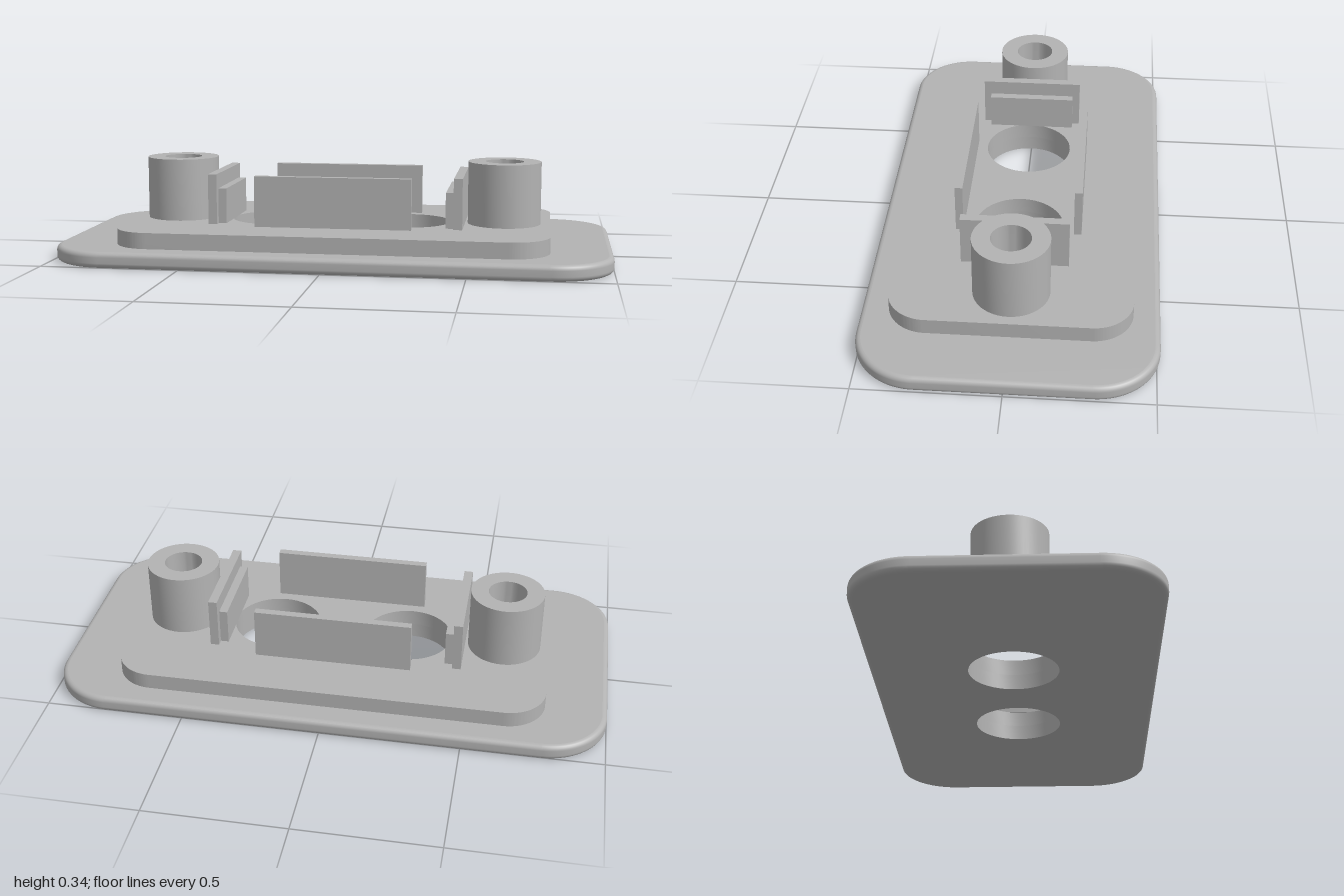
import * as THREE from 'three';
import { toCreasedNormals } from 'three/addons/utils/BufferGeometryUtils.js';

const SEG = 24;
const PLATE_TOP = 0.057, STEP_TOP = 0.115;
const HOLE_X = 0.25, HOLE_R = 0.162;

// Rounded rectangle outline from half sizes, counter-clockwise
function roundedRect(hx, hz, r, shape = new THREE.Shape()) {
  const corners = [[1, -1], [1, 1], [-1, 1], [-1, -1]];
  corners.forEach(([sx, sz], i) => {
    const start = (i - 1) * Math.PI / 2;
    shape.absarc(sx * (hx - r), sz * (hz - r), r, start, start + Math.PI / 2, false);
  });
  return shape;
}

function addRoundHoles(shape) {
  for (const s of [-1, 1]) {
    shape.holes.push(new THREE.Path().absarc(s * HOLE_X, 0, HOLE_R, 0, Math.PI * 2, true));
  }
  return shape;
}

// Filleted edge of the plate, lofted through inset outlines
function rimGeometry(hx, hz, r, height, fillet) {
  const levels = [];
  const steps = 5;
  for (let half = 0; half < 2; half++) {
    for (let k = 0; k <= steps; k++) {
      const a = (half + k / steps - 1) * Math.PI / 2;
      levels.push({
        inset: fillet * (1 - Math.cos(a)),
        y: (half ? height - fillet : fillet) + fillet * Math.sin(a),
      });
    }
  }
  const positions = [], indices = [];
  let n = 0;
  for (const { inset, y } of levels) {
    const points = roundedRect(hx - inset, hz - inset, r - inset).getPoints(SEG);
    n = points.length;
    for (const p of points) positions.push(p.x, y, -p.y);
  }
  for (let j = 0; j < levels.length - 1; j++) {
    for (let i = 0; i < n; i++) {
      const a = j * n + i, b = j * n + (i + 1) % n;
      indices.push(a, b, a + n, b, b + n, a + n);
    }
  }
  const geometry = new THREE.BufferGeometry();
  geometry.setAttribute('position', new THREE.Float32BufferAttribute(positions, 3));
  geometry.setIndex(indices);
  geometry.computeVertexNormals();
  return geometry;
}

export function createModel() {
  const model = new THREE.Group();
  model.name = 'mountingPlate';
  const grey = new THREE.MeshStandardMaterial({ color: 0xb3b3b3 });
  grey.name = 'grey';

  function add(name, geometry, x = 0, y = 0, z = 0, parent = model) {
    const mesh = new THREE.Mesh(geometry, grey);
    mesh.name = name;
    mesh.position.set(x, y, z);
    parent.add(mesh);
    return mesh;
  }

  function box(name, x0, x1, y0, y1, z0, z1) {
    add(name, new THREE.BoxGeometry(x1 - x0, y1 - y0, z1 - z0),
      (x0 + x1) / 2, (y0 + y1) / 2, (z0 + z1) / 2);
  }

  function lathe(points) {
    const profile = points.map(([r, y]) => new THREE.Vector2(r, y));
    return toCreasedNormals(new THREE.LatheGeometry(profile, SEG * 2), 0.6);
  }

  // Base plate: rounded rim, underside and the visible ledge on top
  const HX = 1, HZ = 0.512, R = 0.22, F = 0.018;
  const plate = new THREE.Group();
  plate.name = 'basePlate';
  model.add(plate);
  add('plateRim', rimGeometry(HX, HZ, R, PLATE_TOP, F), 0, 0, 0, plate);

  const underside = addRoundHoles(roundedRect(HX - F, HZ - F, R - F));
  add('plateUnderside', new THREE.ShapeGeometry(underside, SEG).rotateX(Math.PI / 2), 0, 0, 0, plate);

  const ledge = roundedRect(HX - F, HZ - F, R - F);
  ledge.holes.push(roundedRect(0.78, 0.42, 0.14, new THREE.Path()));
  add('plateLedge', new THREE.ShapeGeometry(ledge, SEG).rotateX(-Math.PI / 2), 0, PLATE_TOP, 0, plate);

  // Raised step with the two through holes
  const step = new THREE.ExtrudeGeometry(addRoundHoles(roundedRect(0.78, 0.42, 0.14)), {
    depth: STEP_TOP - PLATE_TOP, bevelEnabled: false, curveSegments: SEG,
  });
  step.rotateX(-Math.PI / 2);
  add('raisedStep', toCreasedNormals(step, 0.6), 0, PLATE_TOP, 0);

  for (const s of [-1, 1]) {
    const side = s > 0 ? 'left' : 'right';

    // Hole lining through the base plate
    add(side + 'HoleWall', lathe([[HOLE_R, PLATE_TOP], [HOLE_R, 0]]), s * HOLE_X);

    // Screw boss with a bore
    add(side + 'ScrewBoss', lathe([
      [0.134, STEP_TOP], [0.134, 0.345], [0.07, 0.345], [0.07, STEP_TOP],
    ]), s * 0.61);

    // Stepped end wall: tall outer plate and shorter inner plate
    const span = (a, b) => (s > 0 ? [a, b] : [-b, -a]);
    box(side + 'OuterEndWall', ...span(0.435, 0.467), STEP_TOP, 0.3, -0.19, 0.19);
    box(side + 'InnerEndWall', ...span(0.405, 0.435), STEP_TOP, 0.245, -0.163, 0.163);

    // Long side wall
    const z = s * 0.214;
    box(s > 0 ? 'frontSideWall' : 'backSideWall', -0.286, 0.286, STEP_TOP, 0.3, z - 0.014, z + 0.014);
  }

  return model;
}
